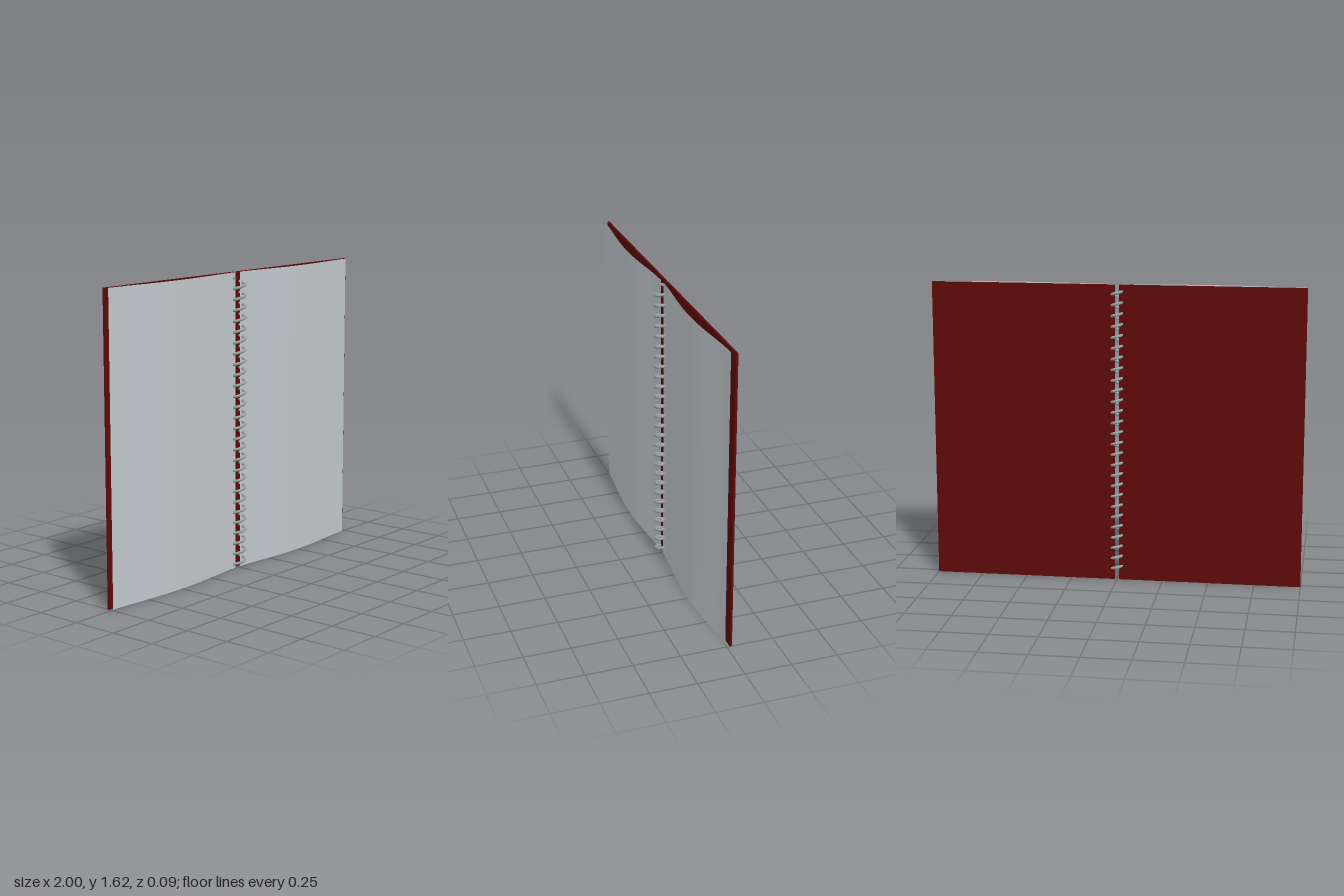
import * as THREE from 'three';

const H = 1.62;

function material(name, color, side = THREE.FrontSide) {
  const m = new THREE.MeshStandardMaterial({ color, side });
  m.name = name;
  return m;
}

// Helix running up the spine
class Helix extends THREE.Curve {
  constructor(radius, y0, pitch, turns) {
    super();
    Object.assign(this, { radius, y0, pitch, turns });
    this.arcLengthDivisions = turns * 20;
  }
  getPoint(t, target = new THREE.Vector3()) {
    const a = -Math.PI / 2 + t * this.turns * Math.PI * 2;
    return target.set(
      this.radius * Math.sin(a),
      this.y0 + t * this.turns * this.pitch,
      this.radius * Math.cos(a)
    );
  }
}

// Thin sheet that bows forward between its two side edges
function bowedSheet(x0, x1, bow) {
  const g = new THREE.PlaneGeometry(x1 - x0, H, 18, 1);
  g.translate((x0 + x1) / 2, H / 2, 0);
  const p = g.attributes.position;
  for (let i = 0; i < p.count; i++) {
    const u = (p.getX(i) - x0) / (x1 - x0);
    p.setZ(i, bow * Math.pow(Math.max(0, Math.sin(Math.PI * u)), 1.6));
  }
  g.computeVertexNormals();
  return g;
}

export function createModel() {
  const group = new THREE.Group();
  group.name = 'openNotebook';
  const coverRed = material('coverRed', 0x5e0a0a);
  const paper = material('paperGrey', 0xc4cbce, THREE.DoubleSide);
  const wire = material('wireGrey', 0x98a2a4);

  const add = (name, geometry, mat) => {
    const mesh = new THREE.Mesh(geometry, mat);
    mesh.name = name;
    group.add(mesh);
    return mesh;
  };

  // Covers, one each side of the spine gap
  for (const side of [-1, 1]) {
    const cover = add(side > 0 ? 'leftCover' : 'rightCover',
      new THREE.BoxGeometry(0.989, H, 0.012), coverRed);
    cover.position.set(side * 0.5055, H / 2, -0.022);
  }

  // Curved pages
  add('rightPage', bowedSheet(-0.99, -0.022, 0.03), paper);
  add('leftPage', bowedSheet(0.015, 0.977, 0.03), paper);

  // Wire coil binding
  const turns = 27;
  const coil = new Helix(0.037, 0.025, 0.058, turns);
  add('spiralBinding', new THREE.TubeGeometry(coil, turns * 20, 0.008, 8, false), wire);

  // Closed wire ends
  for (const t of [0, 1]) {
    const tip = add(t ? 'wireTipTop' : 'wireTipBottom',
      new THREE.SphereGeometry(0.008, 8, 6), wire);
    tip.position.copy(coil.getPoint(t));
  }
  return group;
}
